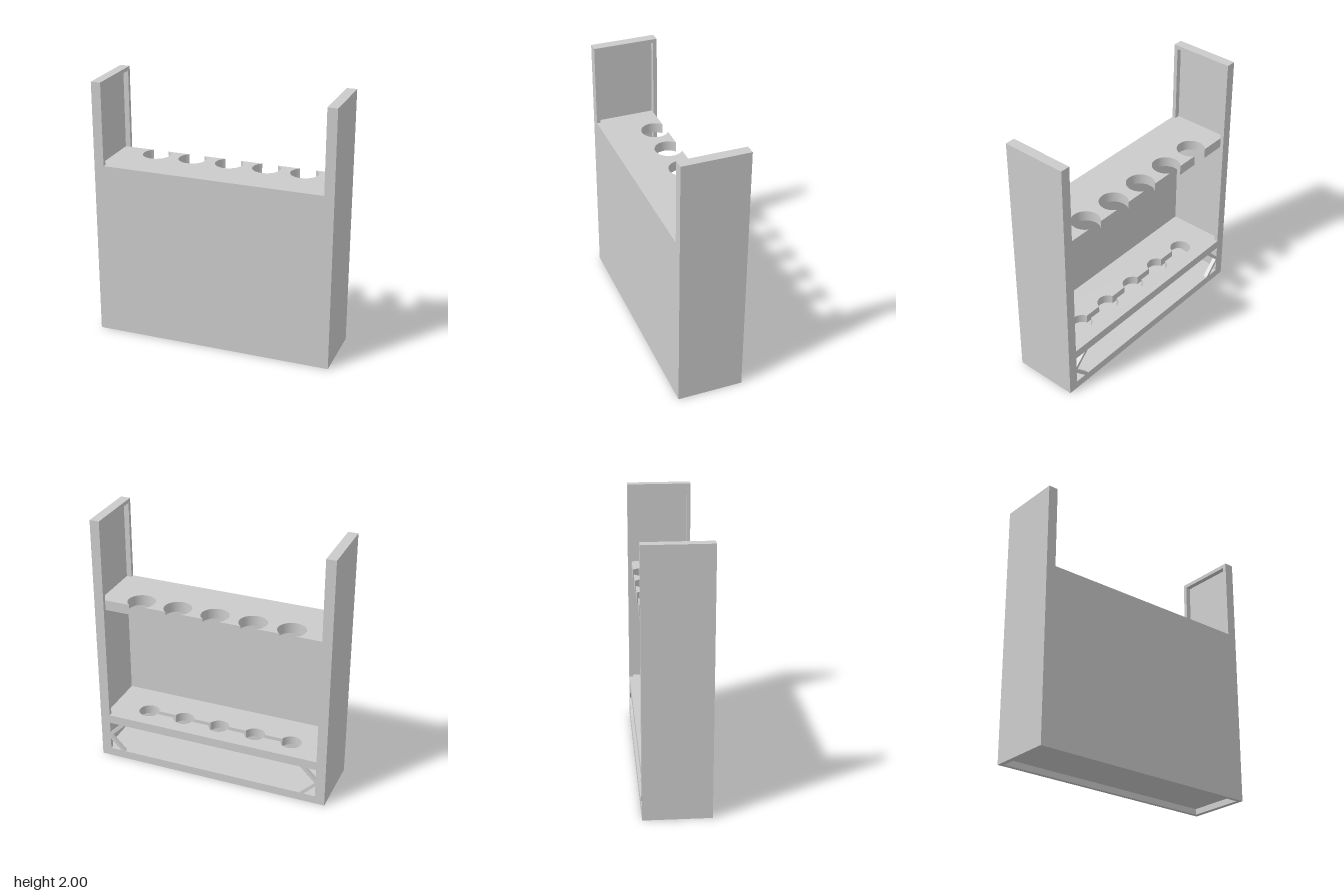
import * as THREE from 'three';
import { toCreasedNormals } from 'three/addons/utils/BufferGeometryUtils.js';

const material = new THREE.MeshStandardMaterial({ color: 0xcccccc });
const W = 0.925;      // outer half width
const IN = 0.85;      // half width between the side lips
const SKIN = 0.89;    // inner face of the side skins
const D = 0.25;       // half depth
const LIP = 0.22;     // inner face of the front and back lips
const HOLES = [-0.59, -0.295, 0, 0.295, 0.59];

function add(parent, name, geometry) {
  const mesh = new THREE.Mesh(geometry, material);
  mesh.name = name;
  parent.add(mesh);
  return mesh;
}

// Box given by its lower and upper limits on each axis
function box(parent, name, x0, x1, y0, y1, z0, z1) {
  const g = new THREE.BoxGeometry(x1 - x0, y1 - y0, z1 - z0);
  g.translate((x0 + x1) / 2, (y0 + y1) / 2, (z0 + z1) / 2);
  return add(parent, name, g);
}

// Horizontal board from a shape drawn in x and z
function board(parent, name, shape, bottom, top) {
  const g = new THREE.ExtrudeGeometry(shape, { depth: top - bottom, bevelEnabled: false, curveSegments: 32 });
  g.rotateX(Math.PI / 2);
  g.translate(0, top, 0);
  return add(parent, name, toCreasedNormals(g, 0.6));
}

// Upper shelf: round notches open to the back
function notchedShape() {
  const back = -0.222, cz = -0.136, r = 0.106;
  const a = Math.asin((cz - back) / r);
  const s = new THREE.Shape();
  s.moveTo(-SKIN, back);
  for (const x of HOLES) {
    s.lineTo(x - r * Math.cos(a), back);
    s.absarc(x, cz, r, Math.PI + a, -a, true);
  }
  s.lineTo(SKIN, back);
  s.lineTo(SKIN, LIP);
  s.lineTo(-SKIN, LIP);
  s.closePath();
  return s;
}

// Lower shelf: round holes joined by a narrow slot
function slottedShape() {
  const cz = -0.07, r = 0.08, b = Math.asin(0.02 / r), last = HOLES.length - 1;
  const s = new THREE.Shape();
  s.moveTo(-IN, -D);
  s.lineTo(IN, -D);
  s.lineTo(IN, -LIP);
  s.lineTo(SKIN, -LIP);
  s.lineTo(SKIN, LIP);
  s.lineTo(-SKIN, LIP);
  s.lineTo(-SKIN, -LIP);
  s.lineTo(-IN, -LIP);
  s.closePath();
  const hole = new THREE.Path();
  hole.moveTo(HOLES[0] - r, cz);
  HOLES.forEach((x, i) =>
    hole.absarc(x, cz, r, i === 0 ? Math.PI : Math.PI - b, i === last ? 0 : b, true));
  for (let i = last; i >= 0; i--) {
    hole.absarc(HOLES[i], cz, r, i === last ? 0 : -b, i === 0 ? -Math.PI : -Math.PI + b, true);
  }
  s.holes.push(hole);
  return s;
}

// Diagonal brace across one corner of the lower back opening
function cornerBrace(parent, sx, sy, y) {
  const leg = 0.125, w = 0.035;
  const p = [[0, leg], [0, leg - w], [leg - w, 0], [leg, 0]];
  const s = new THREE.Shape(p.map(([u, v]) => new THREE.Vector2(sx * (IN - u), y + sy * v)));
  const g = new THREE.ExtrudeGeometry(s, { depth: D - LIP, bevelEnabled: false });
  g.translate(0, 0, -D);
  add(parent, 'cornerBrace', g);
}

export function createModel() {
  const rack = new THREE.Group();
  rack.name = 'rack';

  // Side walls: skin with lips at the front, back and top
  for (const s of [-1, 1]) {
    const side = new THREE.Group();
    side.name = s > 0 ? 'leftSide' : 'rightSide';
    const bar = (name, a, b, y0, y1, z0, z1) =>
      box(side, name, Math.min(s * a, s * b), Math.max(s * a, s * b), y0, y1, z0, z1);
    bar('sideSkin', SKIN, W, 0, 2, -D, D);
    bar('frontLip', IN, SKIN, 0, 2, LIP, D);
    bar('backLip', IN, SKIN, 0, 2, -D, -LIP);
    bar('topLip', IN, SKIN, 1.97, 2, -LIP, LIP);
    rack.add(side);
  }

  // Front panel
  box(rack, 'frontPanel', -IN, IN, 0, 1.36, LIP, D);

  // Shelves
  board(rack, 'upperShelf', notchedShape(), 1.28, 1.36);
  board(rack, 'lowerShelf', slottedShape(), 0.3, 0.37);

  // Floor, hollow underneath, with a rail along the back
  box(rack, 'floor', -SKIN, SKIN, 0.045, 0.058, -LIP, LIP);
  box(rack, 'backRail', -IN, IN, 0, 0.065, -D, -LIP);

  // Braces in the four corners of the lower back opening
  for (const s of [-1, 1]) {
    cornerBrace(rack, s, 1, 0.065);
    cornerBrace(rack, s, -1, 0.3);
  }
  return rack;
}
